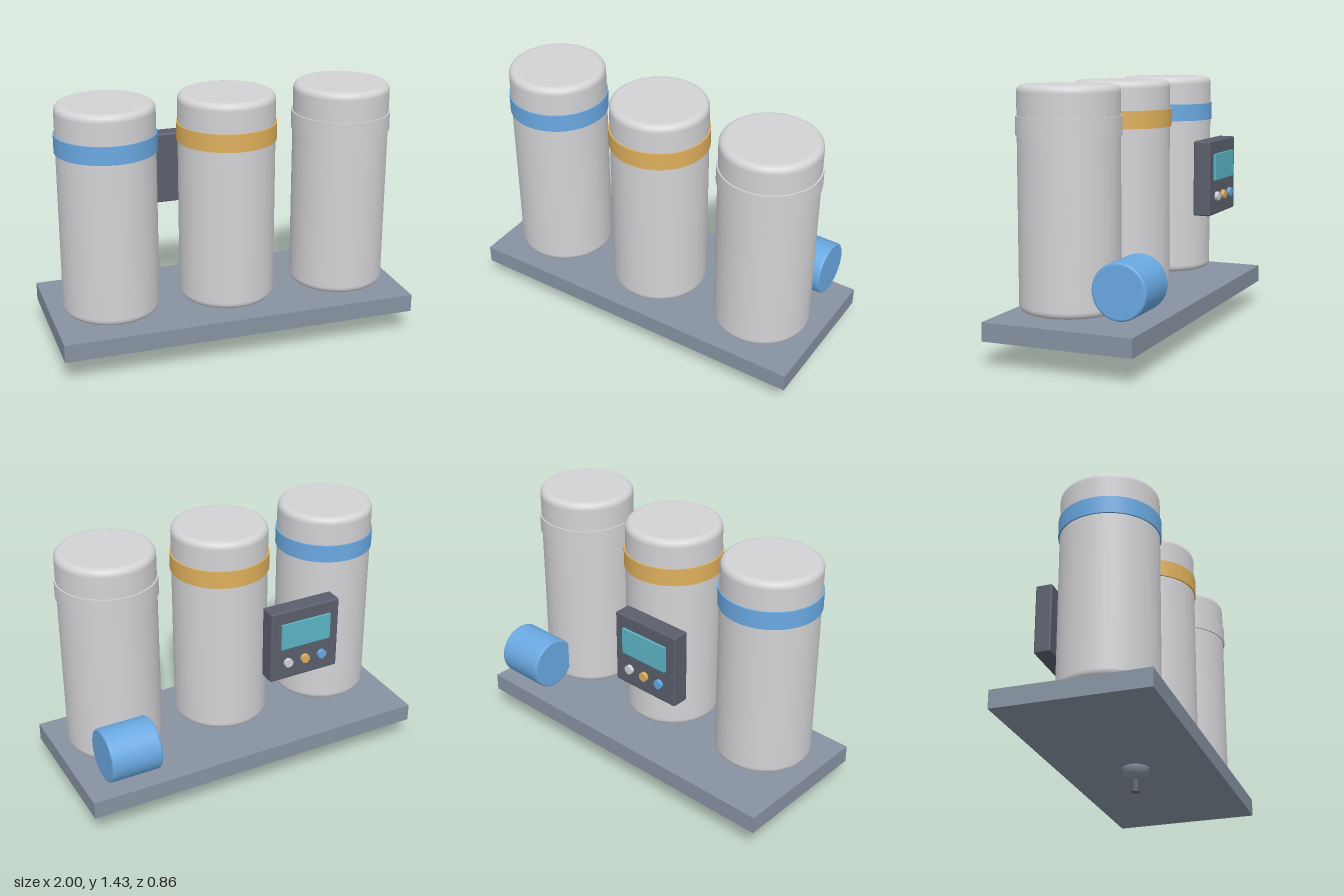
import * as THREE from 'three';
import { RoundedBoxGeometry } from 'three/addons/geometries/RoundedBoxGeometry.js';

const paint = (name, color) => {
  const m = new THREE.MeshStandardMaterial({ color });
  m.name = name;
  return m;
};

// Solid drum standing on y = 0 with rounded rims
function drum(radius, height, round, sides) {
  const pts = [[0, 0], [radius - round - 0.002, 0]];
  const arc = (cy, from) => {
    for (let i = 0; i <= 6; i++) {
      const a = from + (i / 6) * Math.PI / 2;
      pts.push([radius - round + Math.cos(a) * round, cy + Math.sin(a) * round]);
    }
  };
  arc(round, -Math.PI / 2);
  pts.push([radius, round + 0.002], [radius, height - round - 0.002]);
  arc(height - round, 0);
  pts.push([radius - round - 0.002, height], [0, height]);
  return new THREE.LatheGeometry(pts.map(([x, y]) => new THREE.Vector2(x, y)), sides);
}

export function createModel() {
  const silver = paint('silver', 0xd3d3d6);
  const blue = paint('blue', 0x6aa9e2);
  const gold = paint('gold', 0xdeb05c);
  const slate = paint('slate', 0x8792a2);
  const charcoal = paint('charcoal', 0x5a5f6c);
  const teal = paint('teal', 0x5cb4c6);

  const model = new THREE.Group();
  const add = (name, geometry, material, x, y, z) => {
    const mesh = new THREE.Mesh(geometry, material);
    mesh.name = name;
    mesh.position.set(x, y, z);
    model.add(mesh);
    return mesh;
  };

  // Base plate
  add('basePlate', new THREE.BoxGeometry(2, 0.1, 0.832), slate, 0, 0.186, 0.016);

  // Drain bowl and stem under the plate
  add('drainBowl', new THREE.SphereGeometry(0.075, 32, 12, 0, Math.PI * 2, Math.PI / 2, Math.PI / 2),
    slate, 0, 0.14, 0.016);
  add('drainStem', new THREE.CylinderGeometry(0.024, 0.024, 0.075, 12), charcoal, 0, 0.0375, 0.016);

  // Three tanks, each with a coloured band
  const tank = drum(0.265, 1.165, 0.035, 48);
  const band = new THREE.CylinderGeometry(0.273, 0.273, 0.098, 48);
  [['right', -0.667, blue], ['middle', 0, gold], ['left', 0.667, silver]].forEach(([side, x, colour]) => {
    add(side + 'Tank', tank, silver, x, 0.264, 0.095);
    add(side + 'Band', band, colour, x, 1.221, 0.095);
  });

  // Pump lying along x at the back
  const pump = add('pump', drum(0.148, 0.288, 0.012, 32), blue, 0.893, 0.429, -0.279);
  pump.rotation.z = Math.PI / 2;

  // Control panel facing the back
  add('controlPanel', new RoundedBoxGeometry(0.415, 0.415, 0.098, 2, 0.01), charcoal, -0.252, 0.888, -0.362);
  add('screen', new THREE.BoxGeometry(0.297, 0.147, 0.02), teal, -0.252, 0.949, -0.415);
  const button = new THREE.CylinderGeometry(0.025, 0.025, 0.03, 16).rotateX(Math.PI / 2);
  [[-0.148, silver], [-0.252, gold], [-0.356, blue]].forEach(([x, colour], i) =>
    add('button' + (i + 1), button, colour, x, 0.784, -0.416));

  return model;
}
